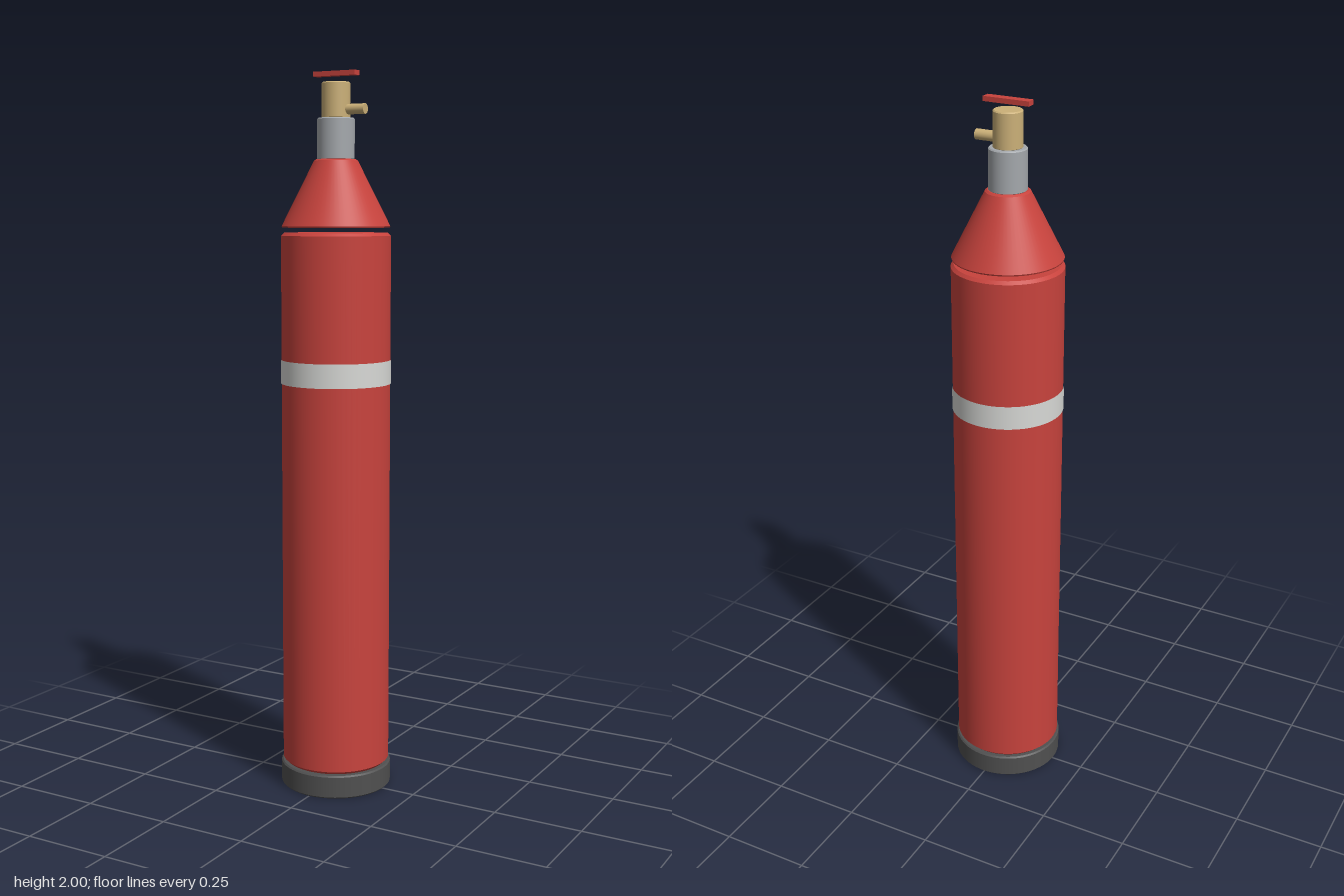
import * as THREE from 'three';

const mat = (name, color) => {
  const m = new THREE.MeshStandardMaterial({ color });
  m.name = name;
  return m;
};

// Capped cylinder or cone with small chamfers; each face strip keeps sharp edges
function turned(r0, r1, y0, y1, bevel, segments = 64) {
  const b = bevel;
  const slope = (r1 - r0) / (y1 - y0);
  const p = [
    [0, y0], [r0 - b, y0], [r0 + slope * b, y0 + b],
    [r1 - slope * b, y1 - b], [r1 - b, y1], [0, y1],
  ];
  // Doubling the corner points stops normals blending from side to cap
  const points = [];
  p.forEach(([x, y], i) => {
    points.push(new THREE.Vector2(x, y));
    if (i > 0 && i < p.length - 1) points.push(new THREE.Vector2(x, y + 1e-5 * Math.sign(i - 2.5)));
  });
  return new THREE.LatheGeometry(points, segments);
}

export function createModel() {
  const model = new THREE.Group();
  model.name = 'gasCylinder';

  const red = mat('red paint', 0xc8433d);
  const rubber = mat('dark rubber', 0x505050);
  const white = mat('pale band', 0xd8d9d6);
  const steel = mat('grey steel', 0xa4a8ac);
  const brass = mat('brass', 0xcbb078);

  const add = (name, geometry, material) => {
    const mesh = new THREE.Mesh(geometry, material);
    mesh.name = name;
    model.add(mesh);
    return mesh;
  };

  // Foot ring and tank
  add('base', turned(0.156, 0.156, 0, 0.066, 0.004), rubber);
  add('tank', turned(0.151, 0.151, 0.068, 1.568, 0.008), red);

  // Painted band around the tank
  const band = add('band', new THREE.CylinderGeometry(0.153, 0.153, 0.066, 64, 1, true), white);
  band.position.y = 1.187;

  // Tapered shoulder, set slightly above the tank
  add('shoulder', turned(0.151, 0.058, 1.582, 1.766, 0.004), red);

  // Neck and valve
  add('neck', turned(0.051, 0.051, 1.764, 1.876, 0.003, 48), steel);
  add('valveBody', turned(0.039, 0.039, 1.874, 1.971, 0.003, 48), brass);

  // Side outlet
  const outlet = add('outlet', new THREE.CylinderGeometry(0.014, 0.014, 0.09, 32), brass);
  outlet.rotation.z = -Math.PI / 2;
  outlet.position.set(0.046, 1.898, 0);

  // Flat handle floating over the valve
  const handle = add('handle', new THREE.BoxGeometry(0.13, 0.013, 0.026), red);
  handle.position.y = 1.9935;

  return model;
}
